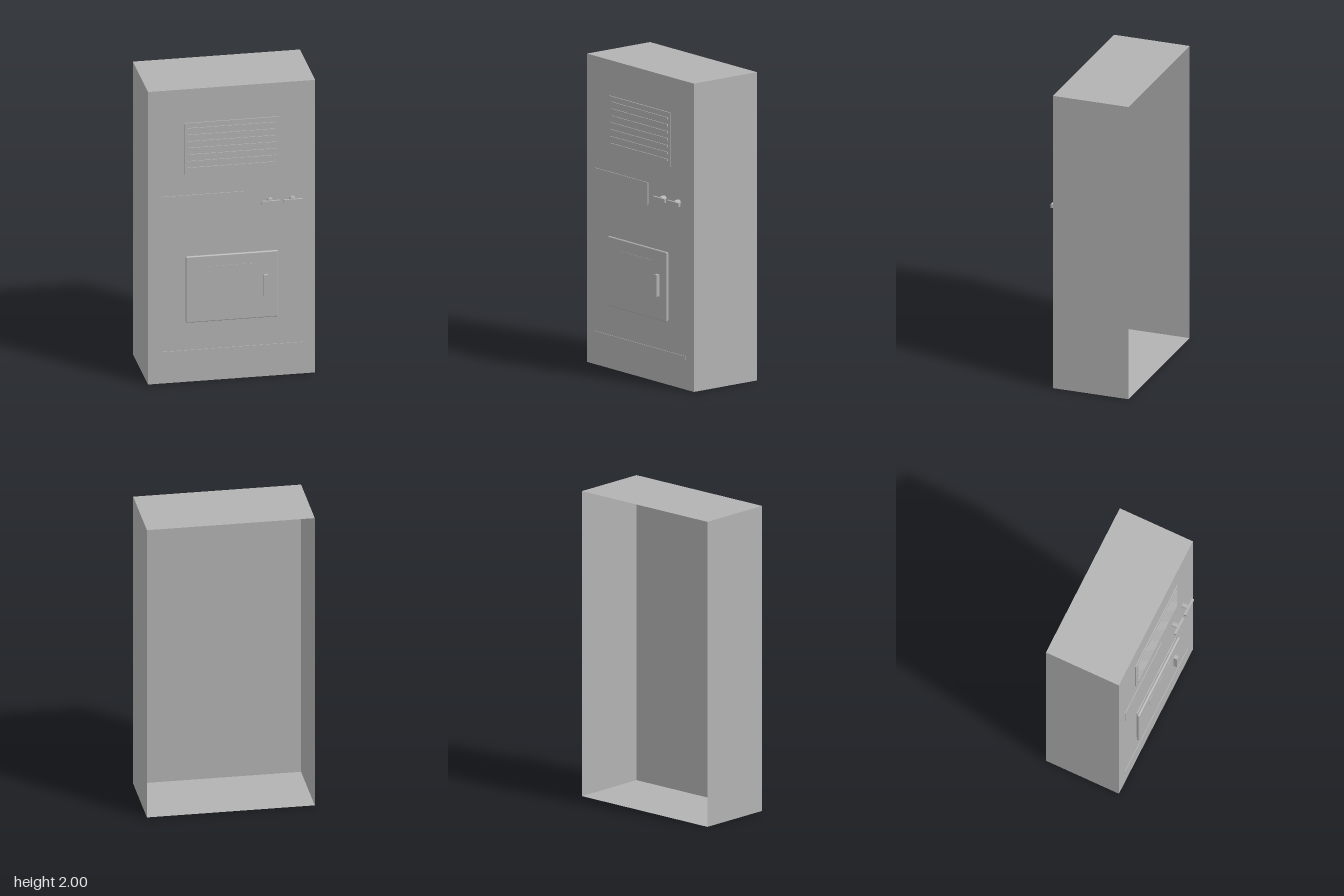
import * as THREE from 'three';
import { RoundedBoxGeometry } from 'three/addons/geometries/RoundedBoxGeometry.js';

export function createModel() {
  const model = new THREE.Group();
  model.name = 'controlCabinet';
  const grey = new THREE.MeshStandardMaterial({ color: 0xb2b2b2, side: THREE.DoubleSide });
  grey.name = 'grey paint';

  const FRONT = 0.229, BACK = -0.283;

  const add = (name, geometry, x, y, z, parent = model) => {
    const mesh = new THREE.Mesh(geometry, grey);
    mesh.name = name;
    mesh.position.set(x, y, z);
    parent.add(mesh);
    return mesh;
  };

  // Box given by its extents on each axis
  const block = (name, x0, x1, y0, y1, z0, z1, parent) =>
    add(name, new THREE.BoxGeometry(x1 - x0, y1 - y0, z1 - z0),
      (x0 + x1) / 2, (y0 + y1) / 2, (z0 + z1) / 2, parent);

  // Thin-walled housing, open at the back (the -z face is the last one of the box)
  const shell = new THREE.BoxGeometry(1.076, 2, FRONT - BACK);
  shell.setIndex(Array.from(shell.index.array).slice(0, 30));
  shell.clearGroups();
  add('housing', shell, 0, 1, (FRONT + BACK) / 2);

  const base = FRONT + 0.0005;

  // Ventilation grille with seven slats
  const grille = new THREE.Group();
  grille.name = 'grille';
  model.add(grille);
  block('grillePlate', -0.305, 0.305, 1.418, 1.77, base, 0.237, grille);
  for (let i = 0; i < 7; i++) {
    const y = 1.46 + i * 0.045;
    block('slat', -0.285, 0.285, y - 0.007, y + 0.007, 0.236, 0.243, grille);
  }

  // Name plate and lower trim strip
  block('plate', -0.452, 0.08, 1.132, 1.276, base, 0.235);
  block('trimStrip', -0.46, 0.46, 0.195, 0.217, base, 0.234);

  // Two turn handles: a stem with a crossbar
  for (const x of [0.245, 0.388]) {
    const handle = new THREE.Group();
    handle.name = 'turnHandle';
    handle.position.set(x, 1.203, 0);
    model.add(handle);
    const stem = new THREE.CylinderGeometry(0.02, 0.02, 0.038, 8).toNonIndexed();
    stem.rotateX(Math.PI / 2);
    stem.computeVertexNormals();
    add('stem', stem, 0, 0, base + 0.019, handle);
    block('crossbar', -0.06, 0.06, -0.012, 0.012, 0.266, 0.281, handle);
  }

  // Door on a low frame, with a label and a pull
  const door = new THREE.Group();
  door.name = 'door';
  model.add(door);
  block('doorFrame', -0.285, 0.281, 0.422, 0.853, base, 0.242, door);
  add('doorPanel', new RoundedBoxGeometry(0.594, 0.452, 0.018, 2, 0.007), -0.002, 0.638, 0.247, door);
  block('doorLabel', -0.155, 0.155, 0.735, 0.79, 0.254, 0.258, door);
  block('doorPull', 0.2, 0.226, 0.568, 0.71, 0.254, 0.28, door);

  return model;
}
